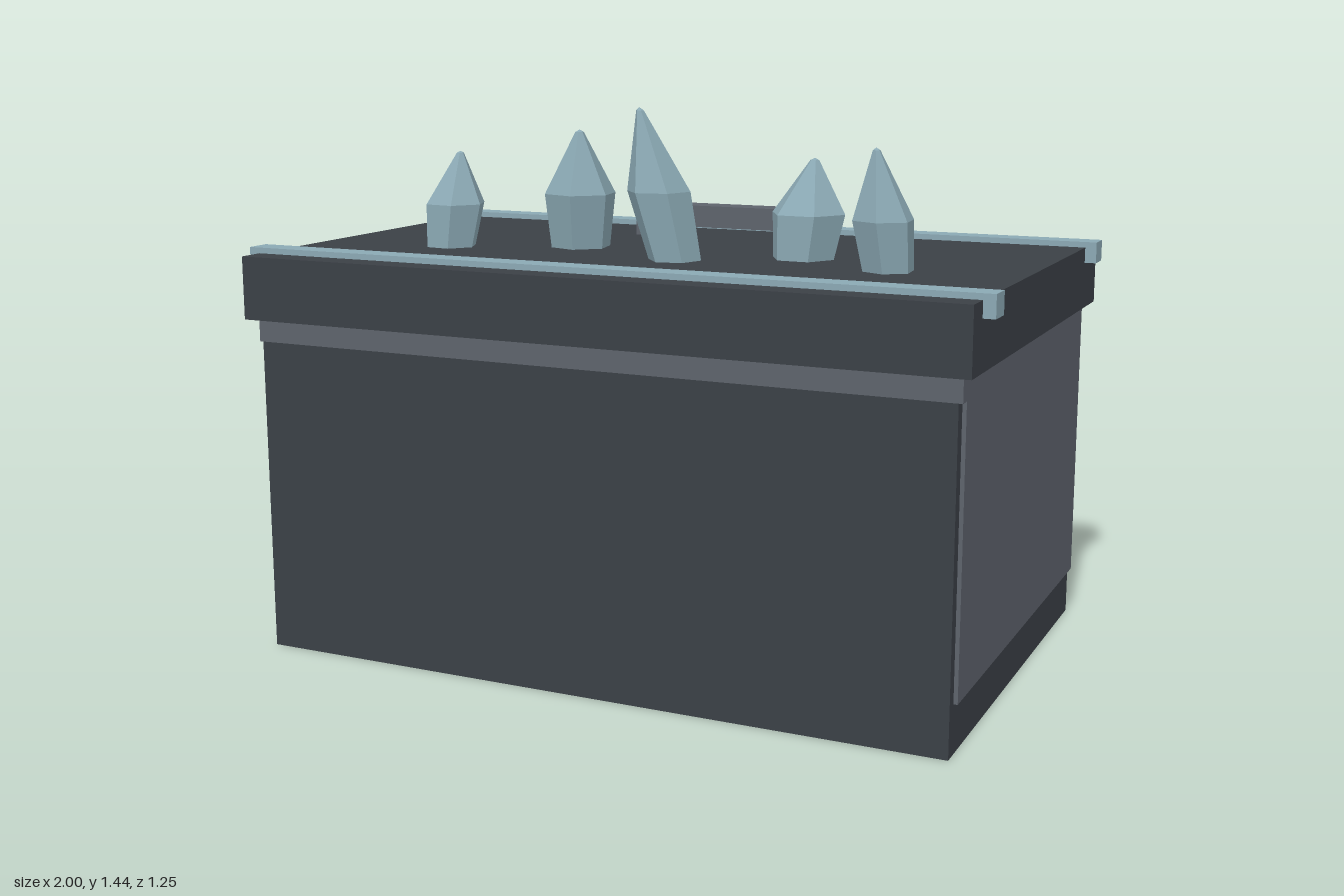
import * as THREE from 'three';

const mat = (name, color) => {
  const m = new THREE.MeshStandardMaterial({ color });
  m.name = name;
  return m;
};

export function createModel() {
  const model = new THREE.Group();
  model.name = 'crystalChest';
  const dark = mat('charcoal', 0x3b4046);
  const grey = mat('slateGrey', 0x5e636c);
  const blue = mat('paleBlue', 0x8ba9b4);
  blue.flatShading = true;

  // Box given by its minimum and maximum on each axis
  const box = (name, m, [x0, x1], [y0, y1], [z0, z1]) => {
    const mesh = new THREE.Mesh(new THREE.BoxGeometry(x1 - x0, y1 - y0, z1 - z0), m);
    mesh.position.set((x0 + x1) / 2, (y0 + y1) / 2, (z0 + z1) / 2);
    mesh.name = name;
    model.add(mesh);
  };

  // Six-sided crystal, leaning from its foot towards its tip
  const crystal = (name, [x, y, z], r, shoulder, height, leanX, leanZ, turn) => {
    const profile = [[0, 0], [r * 0.83, 0], [r, shoulder], [r * 0.12, height * 0.98], [0, height]];
    const geo = new THREE.LatheGeometry(profile.map(p => new THREE.Vector2(...p)), 6, turn);
    const p = geo.attributes.position;
    for (let i = 0; i < p.count; i++) {
      const t = p.getY(i) / height;
      p.setX(i, p.getX(i) + leanX * t);
      p.setZ(i, p.getZ(i) + leanZ * t);
    }
    geo.computeVertexNormals();
    const mesh = new THREE.Mesh(geo, blue);
    mesh.position.set(x, y, z);
    mesh.name = name;
    model.add(mesh);
  };

  // Hollow body: floor, front, low back plate and side walls
  box('base', dark, [-0.935, 0.935], [0, 0.125], [-0.575, 0.6]);
  box('frontPanel', dark, [-0.935, 0.935], [0.125, 0.83], [0.57, 0.6]);
  box('frontHeader', grey, [-0.945, 0.945], [0.83, 0.89], [0.54, 0.6]);
  box('backPlate', dark, [-0.935, 0.935], [0.125, 0.33], [-0.576, -0.52]);
  for (const s of [-1, 1]) {
    const span = (a, b) => (s > 0 ? [a, b] : [-b, -a]);
    box('sideWall', grey, span(0.905, 0.945), [0.125, 0.89], [-0.574, 0.57]);
    box('backPost', grey, span(0.885, 0.944), [0.33, 0.89], [-0.575, -0.53]);
  }

  // Rear window frame and its panels
  box('backSill', grey, [-0.885, 0.885], [0.33, 0.4], [-0.575, -0.52]);
  box('backHeader', grey, [-0.885, 0.885], [0.85, 0.89], [-0.575, -0.52]);
  box('backScreen', blue, [-0.7, 0.7], [0.4, 0.85], [-0.555, -0.525]);
  box('wideBackPanel', blue, [0.09, 0.615], [0.325, 0.64], [-0.596, -0.54]);
  box('tallBackPanel', blue, [-0.625, -0.19], [0.335, 0.725], [-0.627, -0.556]);

  // Lid with rails and handle
  box('lid', dark, [-0.97, 0.97], [0.89, 1.055], [-0.606, 0.627]);
  box('frontRail', blue, [-1, 1], [1.014, 1.07], [0.488, 0.555]);
  box('backRail', blue, [-1, 1], [1.014, 1.07], [-0.535, -0.467]);
  box('handleBar', grey, [-0.26, 0.26], [1.085, 1.145], [-0.315, -0.24]);
  box('handleFoot', grey, [-0.26, -0.2], [1.05, 1.085], [-0.315, -0.24]);
  box('handleFoot', grey, [0.2, 0.26], [1.05, 1.085], [-0.315, -0.24]);

  // Crystals on the lid
  crystal('lidCrystal', [-0.6, 1.05, 0.205], 0.083, 0.12, 0.26, 0.02, -0.025, 0.4);
  crystal('lidCrystal', [-0.275, 1.05, 0.07], 0.097, 0.15, 0.32, 0.015, 0.03, 0.2);
  crystal('lidCrystal', [0.075, 1.05, 0.22], 0.083, 0.18, 0.39, -0.08, 0.04, 0.7);
  crystal('lidCrystal', [0.36, 1.05, 0.055], 0.1, 0.12, 0.26, 0.02, -0.025, 0.5);
  crystal('lidCrystal', [0.635, 1.05, 0.195], 0.078, 0.13, 0.305, -0.025, 0.035, 0.1);

  // Crystals in the gaps beside the rear screen
  crystal('innerCrystal', [0.8, 0.51, -0.5], 0.08, 0.17, 0.31, -0.02, 0.01, 0.3);
  crystal('innerCrystal', [-0.79, 0.51, -0.5], 0.08, 0.17, 0.31, -0.02, 0.01, 0.6);

  return model;
}
